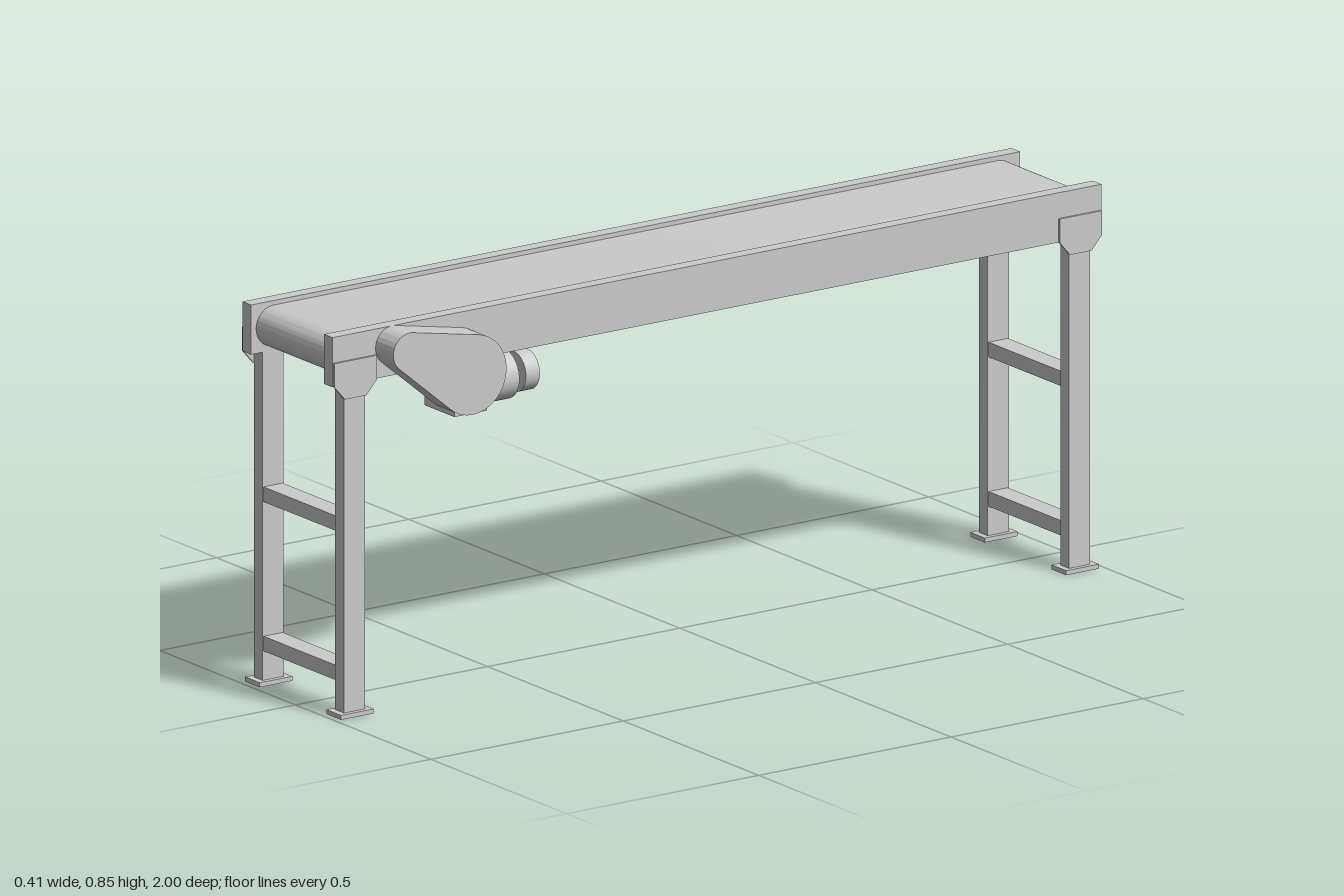
import * as THREE from 'three';
import { toCreasedNormals } from 'three/addons/utils/BufferGeometryUtils.js';

const MID = -0.029; // centre line of the conveyor frame
const RAIL_X = 0.15; // rail and leg offset from the centre line
const LEG_Z = 0.943;

export function createModel() {
  const group = new THREE.Group();
  group.name = 'beltConveyor';
  const material = new THREE.MeshStandardMaterial({ color: 0xcccccc });

  const add = (name, geometry, x = 0, y = 0, z = 0) => {
    const mesh = new THREE.Mesh(geometry, material);
    mesh.name = name;
    mesh.position.set(x, y, z);
    group.add(mesh);
    return mesh;
  };
  const box = (name, w, h, d, x, y, z) => add(name, new THREE.BoxGeometry(w, h, d), x, y, z);

  // Side profile in (z, y), extruded across x from x0 to x1
  const profile = (name, shape, x0, x1) => {
    let g = new THREE.ExtrudeGeometry(shape, { depth: x1 - x0, bevelEnabled: false, curveSegments: 32 });
    g.rotateY(-Math.PI / 2);
    g = toCreasedNormals(g, 0.5);
    return add(name, g, x1);
  };

  // Belt wrapped round its two end rollers
  const beltShape = new THREE.Shape();
  const r = 0.045, endZ = 0.942, beltY = 0.792;
  beltShape.absarc(endZ, beltY, r, -Math.PI / 2, Math.PI / 2);
  beltShape.absarc(-endZ, beltY, r, Math.PI / 2, Math.PI * 1.5);
  beltShape.closePath();
  profile('belt', beltShape, MID - 0.134, MID + 0.134);

  for (const side of [-1, 1]) {
    const x = MID + side * RAIL_X;
    box('sideRail', 0.032, 0.11, 2, x, 0.792, 0);

    for (const end of [-1, 1]) {
      const z = end * LEG_Z;
      box('leg', 0.032, 0.73, 0.055, x, 0.372, z);
      box('footPlate', 0.054, 0.01, 0.085, x, 0.005, z);

      // Tapered plate joining the leg to the rail
      const plate = new THREE.Shape([
        [-0.055, 0.79], [-0.055, 0.737], [-0.028, 0.706],
        [0.028, 0.706], [0.055, 0.737], [0.055, 0.79],
      ].map(([u, v]) => new THREE.Vector2(z + u, v)));
      const outer = x + side * 0.0185;
      profile('gussetPlate', plate, outer - 0.0025, outer + 0.0025);
    }
  }

  // Cross bars between each pair of legs
  for (const end of [-1, 1]) {
    for (const y of [0.091, 0.422]) box('crossBar', 0.268, 0.033, 0.05, MID, y, end * LEG_Z);
  }

  // Teardrop drive guard: two arcs joined by their outer tangents
  const small = { z: 0.845, y: 0.804, r: 0.043 };
  const big = { z: 0.682, y: 0.726, r: 0.088 };
  const dz = small.z - big.z, dy = small.y - big.y;
  const a = Math.atan2(dy, dz);
  const b = Math.acos((big.r - small.r) / Math.hypot(dz, dy));
  const guard = new THREE.Shape();
  guard.absarc(small.z, small.y, small.r, a - b, a + b);
  guard.absarc(big.z, big.y, big.r, a + b, a - b + Math.PI * 2);
  guard.closePath();
  profile('driveGuard', guard, 0.137, 0.203);

  // Gearbox and motor under the belt
  const motorX = 0.082, motorY = 0.672;
  box('gearbox', 0.11, 0.11, 0.085, motorX, motorY, 0.6405);
  const drum = (name, radius, z0, z1) => {
    const g = new THREE.CylinderGeometry(radius, radius, z1 - z0, 40);
    g.rotateX(Math.PI / 2);
    add(name, g, motorX, motorY, (z0 + z1) / 2);
  };
  drum('motorBody', 0.054, 0.513, 0.6);
  drum('motorNeck', 0.019, 0.487, 0.515);
  drum('motorCap', 0.044, 0.453, 0.489);

  return group;
}
